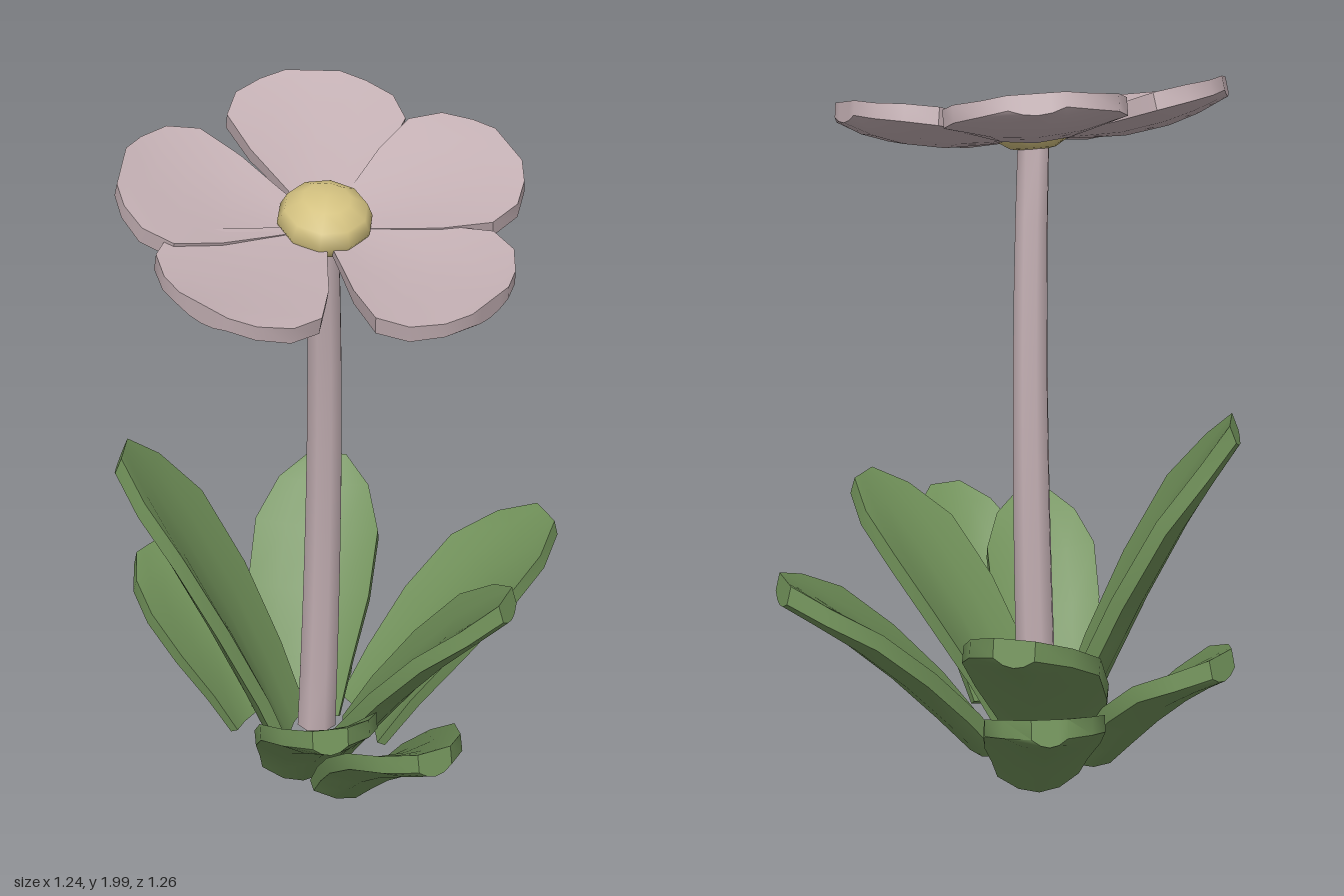
import * as THREE from 'three';
import { toCreasedNormals } from 'three/addons/utils/BufferGeometryUtils.js';

const UP = new THREE.Vector3(0, 1, 0);
const ACROSS = [-1, -0.5, 0, 0.5, 1];

// Thick, gutter-shaped blade along a curve. Each station is [t, halfWidth, thickness, cup].
// The thickness turns from square to the curve at the base to nearly upright at the tip.
function bladeGeometry(curve, side, stations) {
  const n = ACROSS.length;
  const rings = stations.map(([t, half, thick, cup]) => {
    const c = curve.getPoint(t);
    const normal = side.clone().cross(curve.getTangent(t)).normalize();
    const drop = normal.clone().addScaledVector(UP, 1.6 * t * t).normalize();
    const at = (j, depth) => c.clone()
      .addScaledVector(side, j * half)
      .addScaledVector(normal, cup * j * j)
      .addScaledVector(drop, -depth);
    const top = ACROSS.map((j) => at(j, 0));
    const bottom = ACROSS.map((j) => at(j, thick * (1 - 0.3 * j * j))).reverse();
    return [...top, ...bottom];
  });
  const pos = [];
  const quad = (a, b, c, d) => {
    for (const p of [a, b, c, a, c, d]) pos.push(p.x, p.y, p.z);
  };
  const m = 2 * n;
  for (let i = 0; i < rings.length - 1; i++) {
    for (let k = 0; k < m; k++) {
      const l = (k + 1) % m;
      quad(rings[i][k], rings[i][l], rings[i + 1][l], rings[i + 1][k]);
    }
  }
  // end caps
  const first = rings[0], last = rings[rings.length - 1];
  for (let k = 0; k < n - 1; k++) {
    const o = m - 1 - k;
    quad(last[k], last[k + 1], last[o - 1], last[o]);
    quad(first[o], first[o - 1], first[k + 1], first[k]);
  }
  const g = new THREE.BufferGeometry();
  g.setAttribute('position', new THREE.Float32BufferAttribute(pos, 3));
  return toCreasedNormals(g, 0.7);
}

function createLeaf(base, tip, scale, material) {
  const a = new THREE.Vector3(...base), b = new THREE.Vector3(...tip);
  const bend = new THREE.Vector3(
    THREE.MathUtils.lerp(a.x, b.x, 0.42),
    THREE.MathUtils.lerp(a.y, b.y, 0.58),
    THREE.MathUtils.lerp(a.z, b.z, 0.42));
  const side = b.clone().sub(a).setY(0).normalize().cross(UP);
  const outline = [
    [0, 0.12, 0.045, 0.04], [0.2, 0.14, 0.055, 0.045], [0.45, 0.167, 0.06, 0.045],
    [0.7, 0.17, 0.065, 0.04], [0.88, 0.125, 0.07, 0.015], [1, 0.05, 0.075, 0],
  ].map(([t, w, h, cup]) => [t, w * scale, h, cup]);
  const curve = new THREE.QuadraticBezierCurve3(a, bend, b);
  return new THREE.Mesh(bladeGeometry(curve, side, outline), material);
}

function createPetal(degrees, length, scale, lift, material) {
  const r = THREE.MathUtils.degToRad(degrees);
  const dir = new THREE.Vector3(Math.cos(r), 0, -Math.sin(r));
  const along = (d, y) => dir.clone().multiplyScalar(d).setY(y);
  const curve = new THREE.QuadraticBezierCurve3(
    along(0.04, 0), along(length * 0.54, 0.015), along(length, lift));
  const outline = [
    [0, 0.035, 0.025, 0], [0.18, 0.092, 0.04, 0.01], [0.42, 0.17, 0.06, 0.02],
    [0.66, 0.225, 0.068, 0.02], [0.83, 0.2, 0.065, 0.01], [0.94, 0.135, 0.058, 0], [1, 0.07, 0.055, 0],
  ].map(([t, w, h, cup]) => [t, w * scale, h, cup]);
  const side = dir.clone().cross(UP);
  return new THREE.Mesh(bladeGeometry(curve, side, outline), material);
}

export function createModel() {
  const pink = new THREE.MeshStandardMaterial({ color: 0xc2aeb2 });
  const green = new THREE.MeshStandardMaterial({ color: 0x6f8f58 });
  const yellow = new THREE.MeshStandardMaterial({ color: 0xd2c07f });
  pink.name = 'dusty pink';
  green.name = 'leaf green';
  yellow.name = 'pollen yellow';

  const model = new THREE.Group();
  model.name = 'flower';

  // stem: tapered cylinder leaning to the left and bending forward near the top
  const stemGeo = new THREE.CylinderGeometry(0.045, 0.06, 1.67, 8, 8);
  stemGeo.translate(0, 0.09 + 0.835, 0);
  const p = stemGeo.attributes.position;
  for (let i = 0; i < p.count; i++) {
    const y = p.getY(i);
    p.setX(i, p.getX(i) + 0.02 + 0.033 * y);
    p.setZ(i, p.getZ(i) - 0.01 + 0.095 * (y / 1.75) ** 2.6);
  }
  const stem = new THREE.Mesh(toCreasedNormals(stemGeo, 0.9), pink);
  stem.name = 'stem';
  model.add(stem);

  // flower head, tilted towards the front left
  const head = new THREE.Group();
  head.name = 'flowerHead';
  head.position.set(0.085, 1.78, 0.09);
  head.quaternion.setFromUnitVectors(UP, new THREE.Vector3(0.17, 1, 0.19).normalize());
  // petals: angle, length, width scale, tip height
  const petals = [
    [118, 0.53, 1.05, 0.085], [51, 0.53, 1, 0.105], [-17, 0.53, 1.03, 0.085],
    [-101, 0.52, 1.04, 0.085], [198, 0.525, 1.03, 0.105],
  ];
  petals.forEach(([angle, length, scale, lift], i) => {
    const petal = createPetal(angle, length, scale, lift, pink);
    petal.name = `petal${i + 1}`;
    head.add(petal);
  });
  const centre = new THREE.Mesh(new THREE.SphereGeometry(0.125, 10, 6), yellow);
  centre.name = 'flowerCentre';
  centre.scale.y = 0.62;
  centre.position.y = 0.018;
  head.add(centre);
  model.add(head);

  // leaves: base, tip, width scale
  const leaves = [
    [[-0.05, 0.035, 0.03], [-0.48, 1.01, 0.17], 1.06],
    [[-0.19, 0.03, -0.04], [-0.59, 0.46, -0.15], 1],
    [[-0.08, 0.03, -0.1], [-0.2, 0.62, -0.61], 1.1],
    [[-0.1, 0.03, -0.26], [-0.28, 0.39, -0.57], 0.95],
    [[0.14, 0.035, -0.13], [0.52, 0.63, -0.55], 1.05],
    [[0.1, 0.035, 0.02], [0.6, 0.725, 0.03], 1],
    [[0.2, 0.03, 0.15], [0.58, 0.53, 0.5], 0.95],
    [[0.04, 0.035, 0.14], [0.3, 0.54, 0.54], 0.95],
  ];
  leaves.forEach(([base, tip, scale], i) => {
    const leaf = createLeaf(base, tip, scale, green);
    leaf.name = `leaf${i + 1}`;
    model.add(leaf);
  });

  return model;
}
